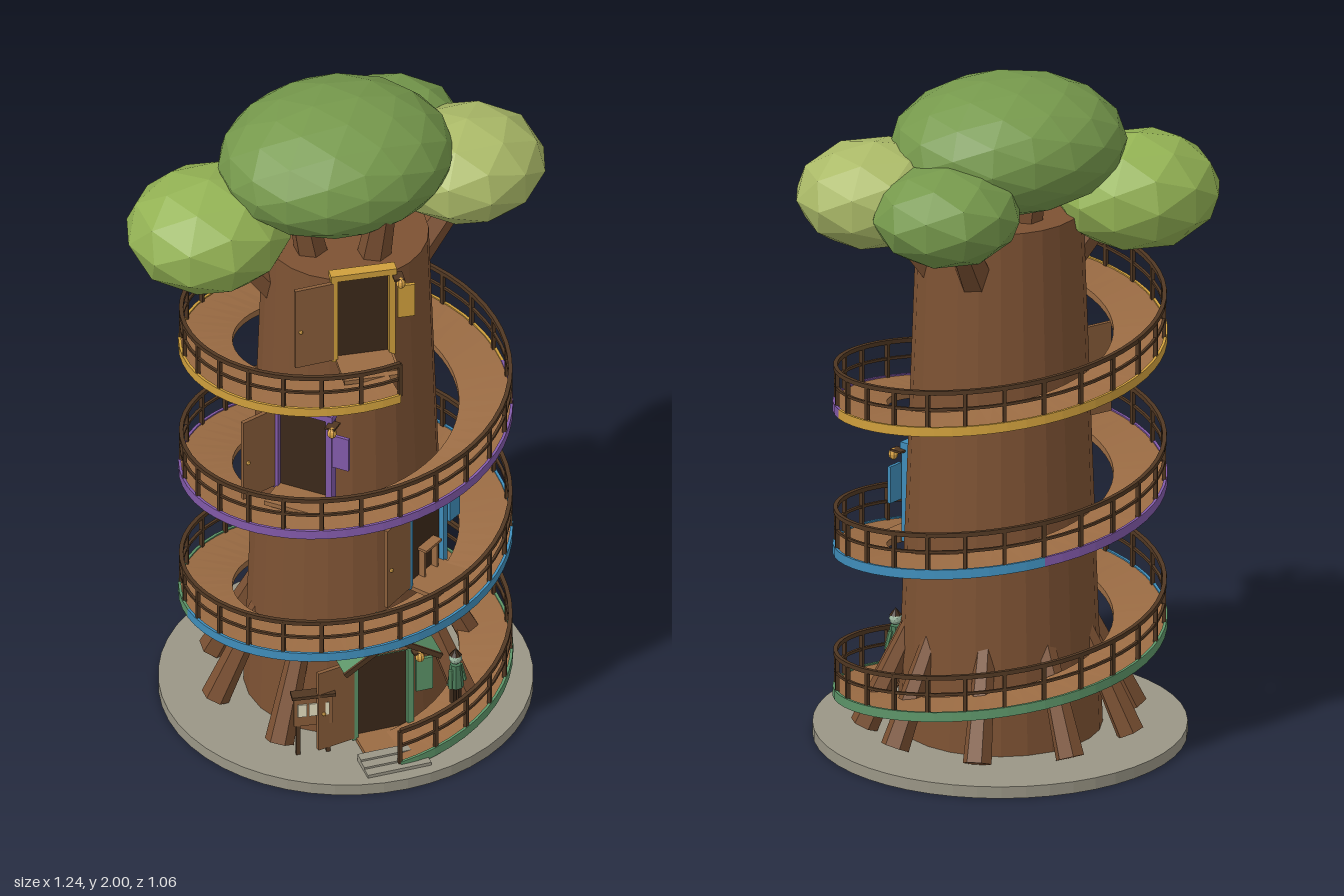
import * as THREE from 'three';

const PITCH = 0.43, START_Y = 0.05, TURNS = 3, TAU = Math.PI * 2;
const COLORS = {
  bark: 0x7d5233, root: 0x7a5032, deck: 0x9a6b43, rail: 0x503722, leaf: 0x8a5e3a, dark: 0x3c291a,
  stone: 0x9a9686, green: 0x5c9468, blue: 0x3f8dba, purple: 0x8159a8, yellow: 0xcf9f3c,
  lamp: 0xe0a848, paper: 0xe6dfc0, skin: 0x9db8a0
};
const materials = {};
const mat = (color) => (materials[color] ??= new THREE.MeshStandardMaterial({ color, flatShading: true }));

function add(parent, name, geometry, color, x = 0, y = 0, z = 0) {
  const mesh = new THREE.Mesh(geometry, mat(color));
  mesh.name = name;
  mesh.position.set(x, y, z);
  parent.add(mesh);
  return mesh;
}
const box = (parent, name, w, h, d, color, x, y, z) =>
  add(parent, name, new THREE.BoxGeometry(w, h, d), color, x, y, z);

function group(parent, name, x = 0, y = 0, z = 0, ry = 0) {
  const g = new THREE.Group();
  g.name = name;
  g.position.set(x, y, z);
  g.rotation.y = ry;
  parent.add(g);
  return g;
}

// Tapered round bar between two points
function limb(parent, name, a, b, ra, rb, color, sides = 6) {
  const from = new THREE.Vector3(...a), to = new THREE.Vector3(...b);
  const dir = to.clone().sub(from);
  const m = add(parent, name, new THREE.CylinderGeometry(rb, ra, dir.length(), sides), color);
  m.position.copy(from).add(to).multiplyScalar(0.5);
  m.quaternion.setFromUnitVectors(new THREE.Vector3(0, 1, 0), dir.normalize());
  return m;
}

// Point at an angle (degrees) measured from the front towards +x
function polar(deg, r, y) {
  const a = deg * Math.PI / 180;
  return [Math.sin(a) * r, y, Math.cos(a) * r];
}
const rampY = (t) => START_Y + PITCH * t;

// Rectangular section swept along the spiral from turn t0 to turn t1
function spiral(t0, t1, r0, r1, y0, y1) {
  const n = Math.round((t1 - t0) * 56), pos = [], index = [];
  const section = [[r0, y0], [r1, y0], [r1, y1], [r0, y1]];
  for (let i = 0; i <= n; i++) {
    const t = t0 + (t1 - t0) * i / n;
    for (const [r, y] of section) pos.push(Math.sin(t * TAU) * r, rampY(t) + y, Math.cos(t * TAU) * r);
  }
  for (let i = 0; i < n; i++) {
    for (let k = 0; k < 4; k++) {
      const a = i * 4 + k, b = i * 4 + (k + 1) % 4;
      index.push(a, b, a + 4, b, b + 4, a + 4);
    }
  }
  const e = n * 4;
  index.push(0, 2, 1, 0, 3, 2, e, e + 1, e + 2, e, e + 2, e + 3);
  const g = new THREE.BufferGeometry();
  g.setAttribute('position', new THREE.Float32BufferAttribute(pos, 3));
  g.setIndex(index);
  // Sections run clockwise around the path, so make the faces look outward
  for (let i = 0; i < index.length; i += 3) [index[i + 1], index[i + 2]] = [index[i + 2], index[i + 1]];
  g.setIndex(flipIfInward(pos, index));
  g.computeVertexNormals();
  return g;
}

// Signed volume decides whether the winding must be reversed
function flipIfInward(pos, index) {
  const p = (i) => new THREE.Vector3(pos[i * 3], pos[i * 3 + 1], pos[i * 3 + 2]);
  let volume = 0;
  for (let i = 0; i < index.length; i += 3) volume += p(index[i]).dot(p(index[i + 1]).cross(p(index[i + 2])));
  return volume < 0 ? index.slice().reverse() : index;
}

function buildRamp(root) {
  const ramp = group(root, 'spiralRamp');
  add(ramp, 'deck', spiral(0, TURNS, 0.32, 0.465, -0.02, 0), COLORS.deck);
  ['green', 'blue', 'purple', 'yellow'].forEach((c, i) =>
    add(ramp, c + 'Trim', spiral(i * 0.75, (i + 1) * 0.75, 0.465, 0.473, -0.024, 0.004), COLORS[c]));
  add(ramp, 'topRail', spiral(0, TURNS, 0.459, 0.471, 0.1, 0.113), COLORS.rail);
  add(ramp, 'middleRail', spiral(0, TURNS, 0.461, 0.469, 0.052, 0.06), COLORS.rail);
  const count = 26 * TURNS, post = new THREE.BoxGeometry(0.011, 0.11, 0.011);
  for (let i = 0; i <= count; i++) {
    const t = i / 26;
    add(ramp, 'railPost', post, COLORS.rail, ...polar(t * 360, 0.465, rampY(t) + 0.052)).rotation.y = t * TAU;
  }
}

// Framed doorway with an open leaf, a threshold, a lantern and a hanging sign
function buildDoor(root, name, color, x, y, z, deg, swing) {
  const d = group(root, name, x, y, z, deg * Math.PI / 180);
  box(d, 'doorway', 0.16, 0.28, 0.03, COLORS.dark, 0, 0.14, -0.012);
  for (const s of [-1, 1]) box(d, 'framePost', 0.018, 0.29, 0.03, color, s * 0.083, 0.145, 0.005);
  box(d, 'lintel', 0.19, 0.02, 0.034, color, 0, 0.29, 0.005);
  box(d, 'threshold', 0.16, 0.014, 0.1, COLORS.deck, 0, 0.0, 0.05);
  const hinge = group(d, 'doorLeaf', -0.087, 0, 0.014, swing * Math.PI / 180);
  box(hinge, 'leafPanel', 0.115, 0.268, 0.012, COLORS.leaf, -0.058, 0.14, 0);
  add(hinge, 'doorKnob', new THREE.IcosahedronGeometry(0.006, 1), COLORS.lamp, -0.1, 0.13, 0.009);
  box(d, 'lanternArm', 0.03, 0.006, 0.04, COLORS.rail, 0.098, 0.275, 0.025);
  add(d, 'lantern', new THREE.SphereGeometry(0.014, 8, 6), COLORS.lamp, 0.103, 0.262, 0.04).scale.y = 1.25;
  box(d, 'hangingSign', 0.05, 0.11, 0.01, color, 0.122, 0.185, 0.02);
  return d;
}

// Gabled porch above the lowest door
function buildPorch(door) {
  const porch = group(door, 'porch', 0, 0.305, 0);
  const gable = new THREE.Shape([[-0.12, 0], [0.12, 0], [0, 0.078]].map((p) => new THREE.Vector2(...p)));
  add(porch, 'gable', new THREE.ExtrudeGeometry(gable, { depth: 0.06, bevelEnabled: false }), COLORS.leaf, 0, 0, -0.01);
  for (const s of [-1, 1]) {
    box(porch, 'roofPanel', 0.17, 0.012, 0.13, COLORS.green, s * 0.072, 0.044, 0.04).rotation.z = -s * 0.57;
    box(porch, 'roofEdge', 0.172, 0.016, 0.008, COLORS.rail, s * 0.072, 0.042, 0.106).rotation.z = -s * 0.57;
    box(porch, 'windowPane', 0.034, 0.036, 0.006, COLORS.paper, s * 0.02, 0.026, 0.052);
  }
}

function buildNoticeBoard(root) {
  const b = group(root, 'noticeBoard', -0.21, 0.035, 0.32, -0.15);
  for (const s of [-1, 1]) box(b, 'boardPost', 0.012, 0.15, 0.012, COLORS.rail, s * 0.043, 0.075, 0);
  box(b, 'boardPanel', 0.112, 0.1, 0.014, COLORS.leaf, 0, 0.15, 0);
  box(b, 'boardRoof', 0.125, 0.01, 0.035, COLORS.rail, 0, 0.204, 0);
  for (const i of [-1, 0, 1]) box(b, 'notice', 0.026, 0.042, 0.004, COLORS.paper, i * 0.032, 0.155, 0.009);
}

function buildVisitor(root) {
  const v = group(root, 'visitor', 0.22, 0.095, 0.31, 0.5);
  for (const s of [-1, 1]) {
    box(v, 'leg', 0.013, 0.065, 0.015, COLORS.dark, s * 0.01, 0.04, 0);
    limb(v, 'arm', [s * 0.02, 0.125, 0], [s * 0.03, 0.07, 0.008], 0.007, 0.006, COLORS.green);
  }
  add(v, 'body', new THREE.CylinderGeometry(0.016, 0.024, 0.075, 8), 0x4a7a58, 0, 0.1, 0);
  add(v, 'head', new THREE.IcosahedronGeometry(0.019, 1), COLORS.skin, 0, 0.158, 0);
  add(v, 'cap', new THREE.ConeGeometry(0.018, 0.022, 8), COLORS.dark, 0, 0.18, 0);
}

export function createModel() {
  const root = new THREE.Group();
  root.name = 'treeHouse';
  add(root, 'base', new THREE.CylinderGeometry(0.53, 0.53, 0.035, 48), COLORS.stone, 0, 0.0175, 0);
  add(root, 'trunk', new THREE.CylinderGeometry(0.235, 0.29, 1.555, 24), COLORS.bark, 0, 0.8125, 0);

  // Buttress roots
  for (const a of [45, 85, 115, 155, 195, 235, 270, 312])
    limb(root, 'root', polar(a, 0.39, 0.05), polar(a, 0.25, 0.35), 0.042, 0.028, COLORS.root);

  // Branches carrying the crowns
  for (const a of [-95, 95, 145]) limb(root, 'branch', polar(a, 0.17, 1.4), polar(a, 0.36, 1.64), 0.055, 0.04, COLORS.root);
  for (const a of [20, 110, 200, 290]) limb(root, 'upperBranch', polar(a, 0.12, 1.55), polar(a, 0.16, 1.74), 0.05, 0.04, COLORS.root);

  // Leaf crowns: centre, radii, colour, detail
  const crowns = [
    [[-0.005, 1.805, -0.07], [0.34, 0.195, 0.29], 0x76994c, 2],
    [[-0.38, 1.633, -0.085], [0.24, 0.17, 0.225], 0x93b254, 1],
    [[0.385, 1.69, -0.065], [0.23, 0.155, 0.213], 0xabba68, 1],
    [[0.235, 1.685, -0.28], [0.215, 0.142, 0.213], 0x76994c, 1]
  ];
  for (const [centre, radii, color, detail] of crowns)
    add(root, 'leafCrown', new THREE.IcosahedronGeometry(1, detail), color, ...centre).scale.set(...radii);

  buildRamp(root);

  // Front steps
  for (let i = 0; i < 3; i++) box(root, 'step', 0.19, 0.01 + i * 0.006, 0.03, COLORS.stone, -0.01, 0.04 + i * 0.003, 0.475 - i * 0.03);

  // One door per floor
  const first = buildDoor(root, 'greenDoor', COLORS.green, 0, 0.045, 0.3, 0, 10);
  buildPorch(first);
  const second = buildDoor(root, 'blueDoor', COLORS.blue, 0.145, 0.525, 0.243, 35, 2);
  box(second, 'tableTop', 0.075, 0.008, 0.03, COLORS.deck, 0.01, 0.1, 0.018);
  for (const s of [-1, 1]) box(second, 'tableLeg', 0.008, 0.1, 0.02, COLORS.deck, 0.01 + s * 0.03, 0.05, 0.014);
  buildDoor(root, 'purpleDoor', COLORS.purple, -0.192, 0.862, 0.198, -44, 62);
  const fourth = buildDoor(root, 'yellowDoor', COLORS.yellow, -0.035, 1.335, 0.242, -7, 7);
  box(fourth, 'landing', 0.165, 0.014, 0.11, COLORS.deck, 0.005, -0.004, 0.065);

  buildNoticeBoard(root);
  buildVisitor(root);
  return root;
}
